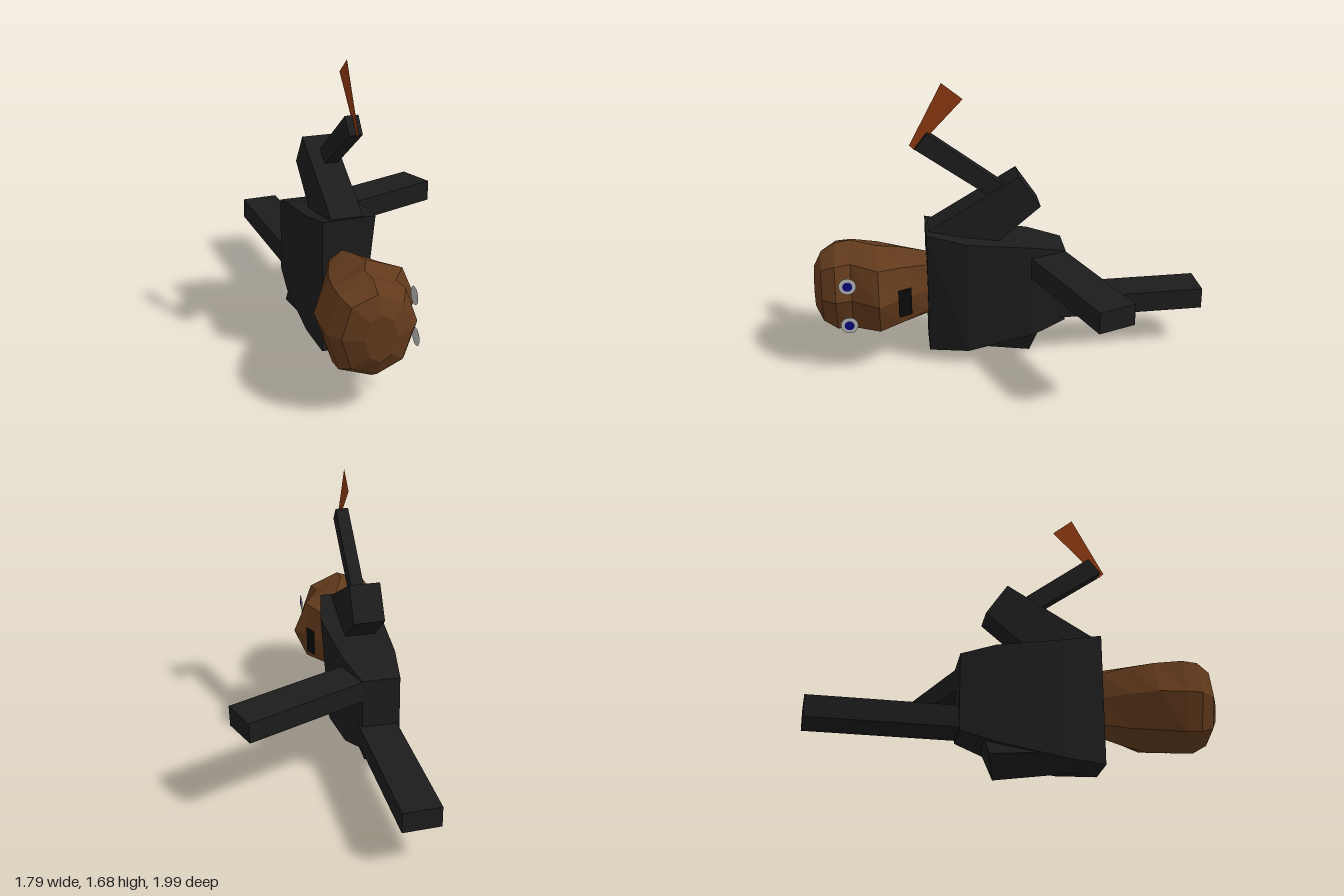
import * as THREE from 'three';

const paint = (color, side = THREE.FrontSide) => new THREE.MeshStandardMaterial({ color, flatShading: true, side });
const cloth = paint(0x1c1c1c);
const skin = paint(0x623a1c);

function add(parent, name, geometry, material) {
  const mesh = new THREE.Mesh(geometry, material);
  mesh.name = name;
  parent.add(mesh);
  return mesh;
}

// Skin between rings of [along, up, forward] points, running front, top, back, bottom; both ends capped.
function loft(rings) {
  const n = rings[0].length;
  const positions = [];
  const tri = (a, b, c) => positions.push(...a, ...b, ...c);
  for (let r = 0; r < rings.length - 1; r++) {
    const a = rings[r], b = rings[r + 1];
    for (let i = 0; i < n; i++) {
      const j = (i + 1) % n;
      tri(a[i], b[i], a[j]);
      tri(b[i], b[j], a[j]);
    }
  }
  const first = rings[0], last = rings[rings.length - 1];
  for (let i = 1; i < n - 1; i++) {
    tri(first[0], first[i], first[i + 1]);
    tri(last[0], last[i + 1], last[i]);
  }
  const geometry = new THREE.BufferGeometry();
  geometry.setAttribute('position', new THREE.Float32BufferAttribute(positions, 3));
  geometry.computeVertexNormals();
  return geometry;
}

// Flat side outline given thickness from z0 to z1.
function slab(points, z0, z1) {
  const shape = new THREE.Shape(points.map(p => new THREE.Vector2(...p)));
  return new THREE.ExtrudeGeometry(shape, { depth: z1 - z0, bevelEnabled: false }).translate(0, 0, z0);
}

export function createModel() {
  const model = new THREE.Group();

  // Figure lying on its side: local +x runs head to hips, +z is the way it faces
  const body = new THREE.Group();
  body.name = 'body';
  body.rotation.y = Math.atan2(0.81, 0.58);
  model.add(body);

  // Torso: [along, back, front top, front bottom, low, high]
  const torso = [
    [-0.545, -0.18, 0.12, 0.04, 0.07, 0.84],
    [-0.32, -0.2, 0.165, 0.12, 0.09, 0.79],
    [0.06, -0.2, 0.115, 0.1, 0.16, 0.73],
    [0.26, -0.18, 0.04, 0.04, 0.22, 0.67],
  ].map(([s, back, ft, fb, lo, hi]) => [[s, lo, fb], [s, hi, ft], [s, hi, back], [s, lo, back]]);
  add(body, 'torso', loft(torso), cloth);

  // Head: [along, back, front, half height]
  const outline = [[1, 0], [0.72, 0.72], [0, 1], [-0.72, 0.76], [-1, 0], [-0.72, -0.76], [0, -1], [0.72, -0.72]];
  const head = [
    [-1.195, -0.17, 0.0, 0.13],
    [-1.15, -0.28, 0.1, 0.22],
    [-1.07, -0.335, 0.155, 0.27],
    [-0.98, -0.335, 0.135, 0.278],
    [-0.826, -0.32, 0.245, 0.262],
    [-0.69, -0.25, 0.145, 0.24],
    [-0.54, -0.17, 0.035, 0.2],
  ].map(([s, back, front, h]) =>
    outline.map(([z, y]) => [s, 0.465 + y * h, (front + back) / 2 + z * (front - back) / 2]));
  add(body, 'head', loft(head), skin);

  // Eyes
  for (const [name, y, z] of [['rightEye', 0.572, 0.165], ['leftEye', 0.335, 0.18]]) {
    add(body, name, new THREE.CircleGeometry(0.05, 16), paint(0xb4b4b4, THREE.DoubleSide)).position.set(-1, y, z);
    add(body, name + 'Pupil', new THREE.CircleGeometry(0.028, 16), paint(0x08087a, THREE.DoubleSide))
      .position.set(-1, y, z + 0.004);
  }

  // Mouth
  const mouth = add(model, 'mouth', new THREE.PlaneGeometry(0.084, 0.17), paint(0x0a0a0a, THREE.DoubleSide));
  mouth.position.set(-0.262, 0.453, 0.648);
  mouth.rotation.y = 1.4;

  // Raised arm, bent at the elbow
  add(body, 'raisedUpperArm', slab([[-0.5, 0.7], [-0.2, 0.7], [0.11, 0.96], [-0.015, 1.145], [-0.53, 0.84]], -0.125, 0.055), cloth);
  add(body, 'raisedForearm', slab([[-0.13, 0.99], [-0.07, 1.07], [-0.52, 1.408], [-0.59, 1.32]], -0.05, 0.025), cloth);
  add(body, 'blade', new THREE.ShapeGeometry(new THREE.Shape(
    [[-0.59, 1.305], [-0.317, 1.59], [-0.434, 1.685], [-0.62, 1.335]].map(p => new THREE.Vector2(...p)))),
    paint(0x8a3810, THREE.DoubleSide)).position.z = -0.01;

  // Lower arm, tucked under the torso
  add(body, 'loweredUpperArm', loft([
    [[-0.5, 0.22, 0.03], [-0.5, 0.3, -0.1], [-0.5, 0.15, -0.17], [-0.5, 0.08, -0.02]],
    [[0.12, 0.2, 0.05], [0.14, 0.27, -0.13], [0.1, 0.09, -0.2], [0.055, 0.0, -0.02]],
  ]), cloth);

  // Legs: centre line from start to end, [x, y, z]
  const legs = [
    ['leftLeg', [0.04, 0.307, -0.14], [0.565, 0.302, -0.94]],
    ['rightLeg', [0.14, 0.603, -0.085], [0.867, 0.59, 0.098]],
  ];
  for (const [name, from, to] of legs) {
    const a = new THREE.Vector3(...from), b = new THREE.Vector3(...to);
    const d = b.clone().sub(a);
    const leg = add(model, name, new THREE.BoxGeometry(d.length(), 0.125, 0.222, 2, 1, 1), cloth);
    leg.position.copy(a).add(b).multiplyScalar(0.5);
    leg.rotation.set(0, Math.atan2(-d.z, d.x), Math.asin(d.y / d.length()));
    leg.rotation.order = 'YZX';
  }
  return model;
}
